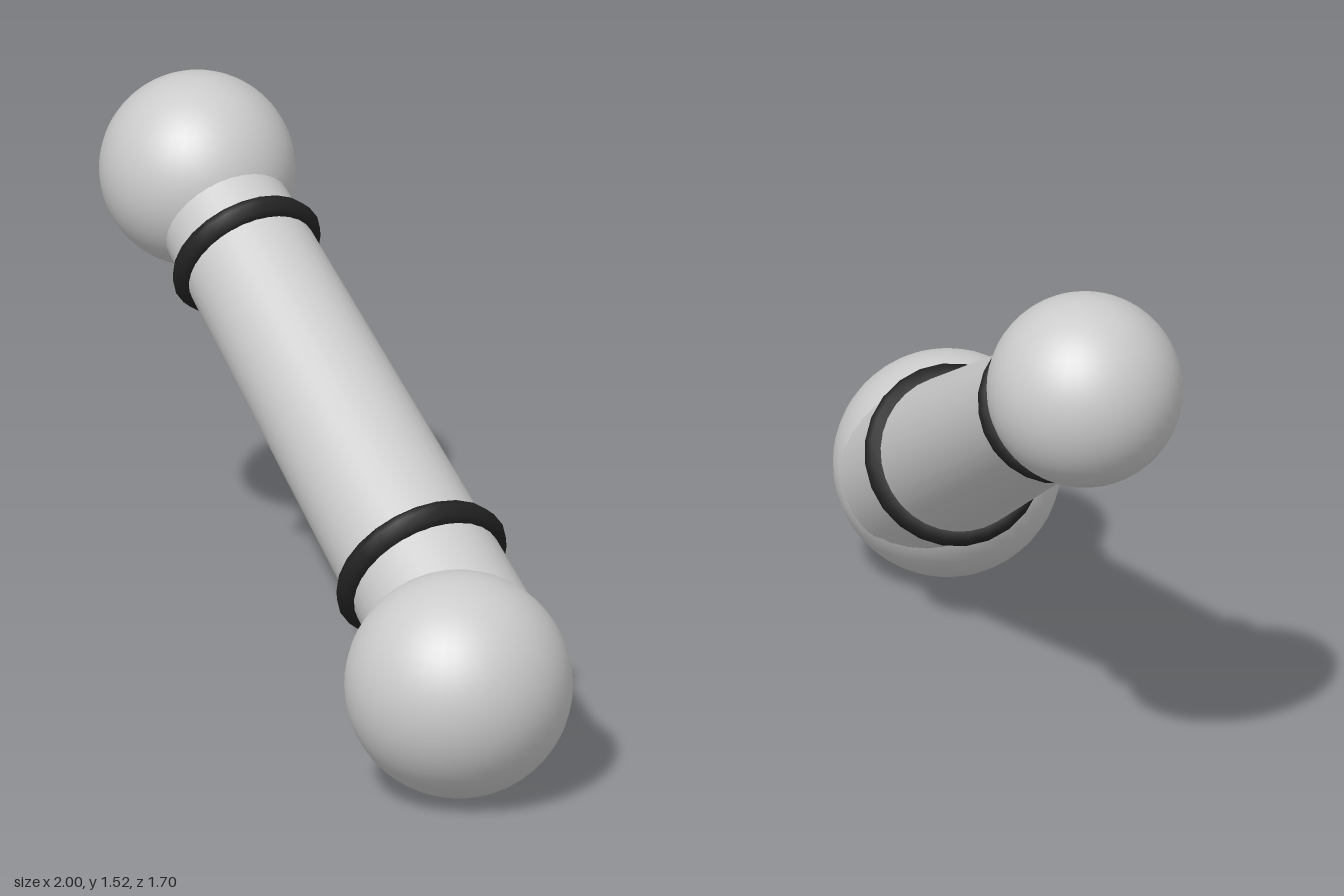
import * as THREE from 'three';

export function createModel() {
  const model = new THREE.Group();
  const grey = new THREE.MeshStandardMaterial({ color: 0xcccccc });
  const dark = new THREE.MeshStandardMaterial({ color: 0x222222 });

  // Shaft axis: runs through the centres of the two bands
  const upperBand = new THREE.Vector3(-0.48, 1.086, -0.405);
  const lowerBand = new THREE.Vector3(0.40, 0.512, 0.218);
  const axis = lowerBand.clone().sub(upperBand).normalize();
  const along = (origin, distance) => origin.clone().addScaledVector(axis, distance);

  function add(name, geometry, material, position) {
    const mesh = new THREE.Mesh(geometry, material);
    mesh.name = name;
    mesh.position.copy(position);
    model.add(mesh);
    return mesh;
  }

  // Ball at each end
  add('upperBall', new THREE.SphereGeometry(0.275, 40, 28), grey, new THREE.Vector3(-0.725, 1.247, -0.574));
  add('lowerBall', new THREE.SphereGeometry(0.32, 40, 28), grey, new THREE.Vector3(0.68, 0.32, 0.527));

  // Slightly tapered shaft, sunk into the lower ball
  const top = along(upperBand, -0.134);
  const bottom = along(lowerBand, 0.4);
  const shaft = add('shaft', new THREE.CylinderGeometry(0.187, 0.232, top.distanceTo(bottom), 32), grey,
    top.clone().add(bottom).multiplyScalar(0.5));
  shaft.quaternion.setFromUnitVectors(new THREE.Vector3(0, -1, 0), axis);

  // Dark bands around the shaft
  for (const [name, centre, radius, tube] of [
    ['upperBand', upperBand, 0.188, 0.036],
    ['lowerBand', lowerBand, 0.218, 0.04],
  ]) {
    const band = add(name, new THREE.TorusGeometry(radius, tube, 8, 24), dark, centre);
    band.quaternion.setFromUnitVectors(new THREE.Vector3(0, 0, 1), axis);
  }

  return model;
}
